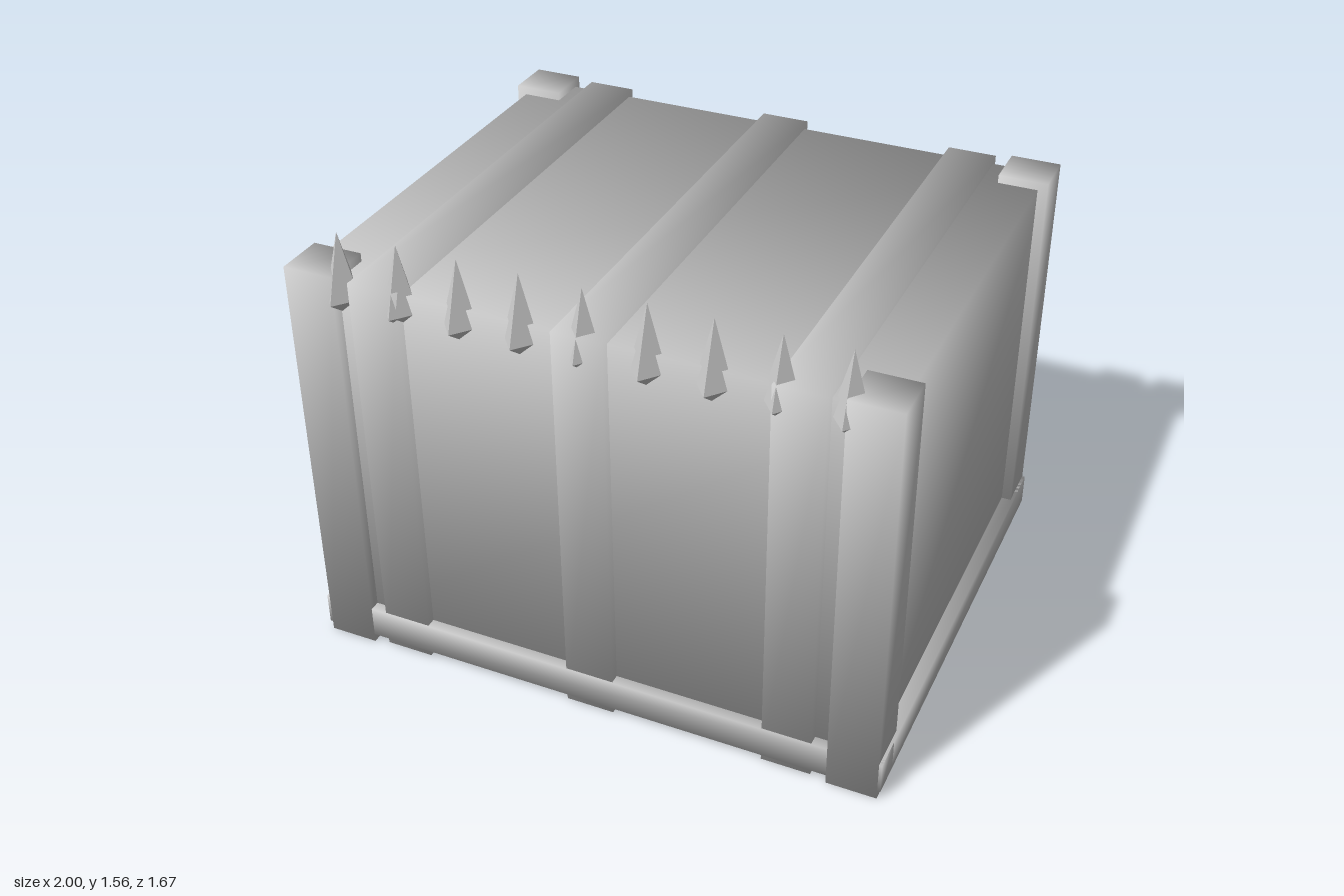
import * as THREE from 'three';
import { mergeVertices } from 'three/addons/utils/BufferGeometryUtils.js';

// Box between two corners with shared corner vertices, so shading rolls over the edges
function softBox(x0, x1, y0, y1, z0, z1) {
  let geo = new THREE.BoxGeometry(x1 - x0, y1 - y0, z1 - z0);
  geo.deleteAttribute('normal');
  geo.deleteAttribute('uv');
  geo = mergeVertices(geo);
  const p = geo.attributes.position;
  const normals = [];
  for (let i = 0; i < p.count; i++) {
    const n = new THREE.Vector3(Math.sign(p.getX(i)), Math.sign(p.getY(i)), Math.sign(p.getZ(i))).normalize();
    normals.push(n.x, n.y, n.z);
  }
  geo.setAttribute('normal', new THREE.Float32BufferAttribute(normals, 3));
  geo.translate((x0 + x1) / 2, (y0 + y1) / 2, (z0 + z1) / 2);
  return geo;
}

export function createModel() {
  const model = new THREE.Group();
  model.name = 'spikedCrate';
  const grey = new THREE.MeshStandardMaterial({ color: 0xcccccc });
  grey.name = 'light grey';

  const add = (name, geo) => {
    const mesh = new THREE.Mesh(geo, grey);
    mesh.name = name;
    model.add(mesh);
    return mesh;
  };

  const back = -0.83, front = 0.812;

  // Main body
  add('body', softBox(-0.957, 0.957, 0.036, 1.402, -0.803, 0.777));

  // Straps running round the body
  for (const x of [-0.685, 0, 0.685]) {
    add('strap', softBox(x - 0.083, x + 0.083, 0.01, 1.42, back, front - 0.002));
  }

  // Corner posts
  for (const s of [-1, 1]) {
    const x0 = s < 0 ? -0.99 : 0.822;
    add('frontPost', softBox(x0, x0 + 0.168, 0, 1.43, 0.648, front + 0.003));
    add('backPost', softBox(x0, x0 + 0.168, 0, 1.43, back - 0.003, -0.67));
  }

  // Base rails
  add('frontRail', softBox(-1, 1, 0.03, 0.14, 0.70, front + 0.002));
  add('backRail', softBox(-1, 1, 0.03, 0.14, back - 0.002, -0.72));
  for (const s of [-1, 1]) {
    add('sideRail', softBox(s < 0 ? -1 : 0.89, s < 0 ? -0.89 : 1, 0.03, 0.14, back - 0.002, front + 0.002));
  }

  // Row of faceted spikes along the front top edge
  const waist = 1.34, tip = 1.56, foot = 1.283;
  let spikeGeo = new THREE.OctahedronGeometry(1);
  const p = spikeGeo.attributes.position;
  for (let i = 0; i < p.count; i++) {
    const y = p.getY(i);
    p.setXYZ(i, p.getX(i) * 0.06, waist + y * (y > 0 ? tip - waist : waist - foot), p.getZ(i) * 0.073);
  }
  spikeGeo.computeVertexNormals();
  for (let i = -4; i <= 4; i++) {
    add('spike', spikeGeo).position.set(i * 0.205, 0, 0.762);
  }

  return model;
}
